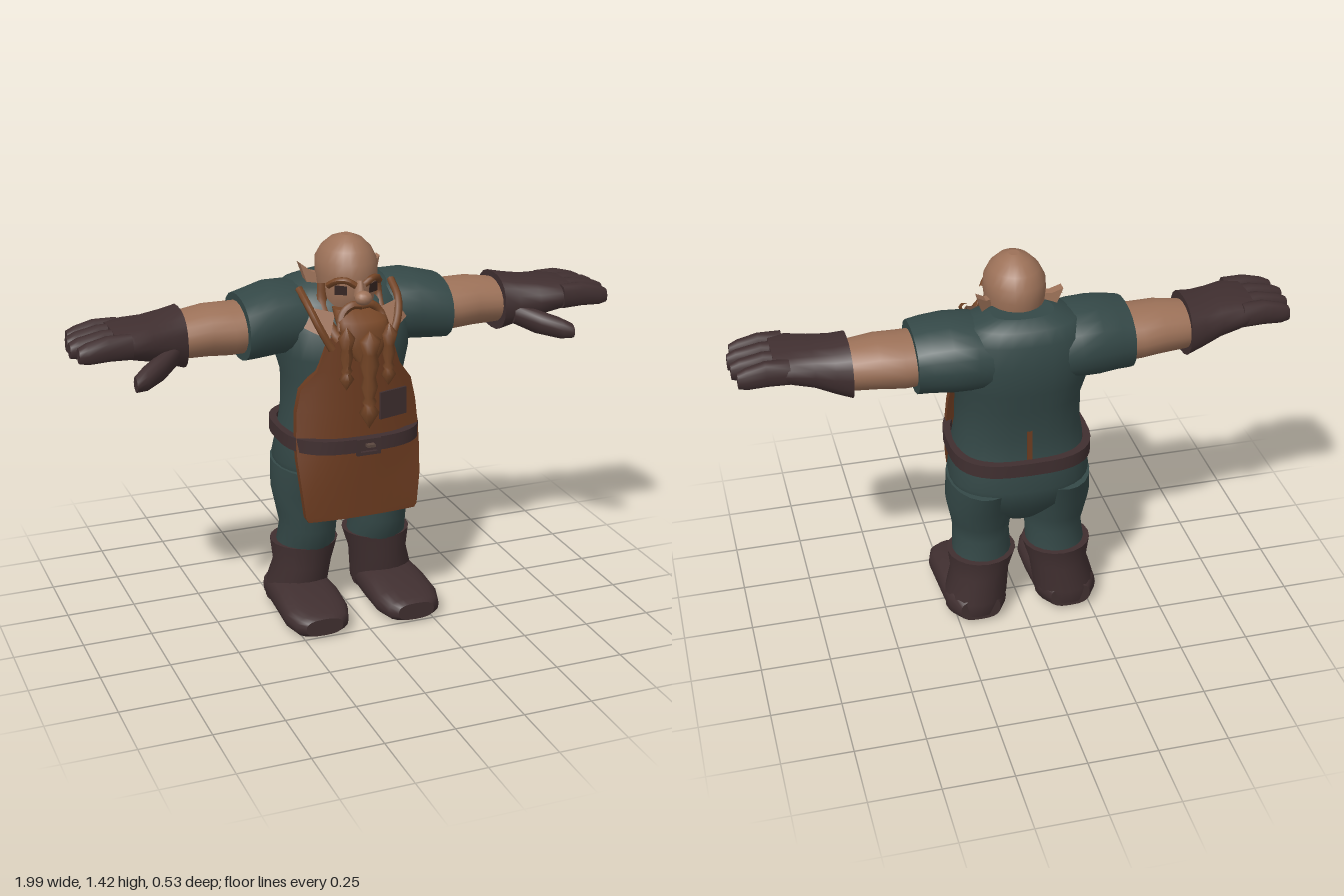
import * as THREE from 'three';

const mat = (name, color, side = THREE.FrontSide) => {
  const m = new THREE.MeshStandardMaterial({ color, side });
  m.name = name;
  return m;
};

export function createModel() {
  const model = new THREE.Group();
  model.name = 'bearded smith';
  const skin = mat('skin', 0x9c7158, THREE.DoubleSide);
  const cloth = mat('green cloth', 0x344847);
  const apronBrown = mat('apron brown', 0x6b3b20);
  const hair = mat('beard brown', 0x744526);
  const leather = mat('dark leather', 0x402f30);
  const dark = mat('eye dark', 0x33221f);
  const metal = mat('buckle metal', 0x5a473f);

  const add = (name, geometry, material) => {
    const mesh = new THREE.Mesh(geometry, material);
    mesh.name = name;
    model.add(mesh);
    return mesh;
  };

  // Adds a part on the left (+x) and its reflection on the right
  const pair = (name, geometry, material) => {
    add(name + 'Left', geometry, material);
    const g = geometry.clone();
    g.scale(-1, 1, 1);
    const n = g.index ? g.index.count : g.attributes.position.count;
    const idx = [];
    for (let i = 0; i < n; i += 3) {
      const at = k => (g.index ? g.index.getX(k) : k);
      idx.push(at(i), at(i + 2), at(i + 1));
    }
    g.setIndex(idx);
    g.computeVertexNormals();
    add(name + 'Right', g, material);
  };

  // Skin over superellipse rings [t, u, v, ru, rv]; axis x: u=y v=z, axis y: u=z v=x, axis z: u=x v=y
  const loft = (axis, rings, { power = 2, seg = 20, caps = true } = {}) => {
    const a = 'xyz'.indexOf(axis);
    const first = rings[0], last = rings[rings.length - 1];
    const all = caps
      ? [[...first.slice(0, 3), 0, 0], first, ...rings, last, [...last.slice(0, 3), 0, 0]]
      : rings;
    const pos = [], idx = [];
    const bend = c => Math.sign(c) * Math.abs(c) ** (2 / power);
    all.forEach(([t, u, v, ru, rv], r) => {
      for (let i = 0; i < seg; i++) {
        const q = (i / seg) * Math.PI * 2;
        const p = [0, 0, 0];
        p[a] = t;
        p[(a + 1) % 3] = u + ru * bend(Math.cos(q));
        p[(a + 2) % 3] = v + rv * bend(Math.sin(q));
        pos.push(...p);
        if (r === 0) continue;
        const j = (i + 1) % seg, lo = (r - 1) * seg, hi = r * seg;
        idx.push(lo + i, lo + j, hi + j, lo + i, hi + j, hi + i);
      }
    });
    const g = new THREE.BufferGeometry();
    g.setAttribute('position', new THREE.Float32BufferAttribute(pos, 3));
    g.setIndex(idx);
    g.computeVertexNormals();
    return g;
  };

  const tube = (points, radius) => new THREE.TubeGeometry(
    new THREE.CatmullRomCurve3(points.map(p => new THREE.Vector3(...p))), 10, radius, 7);
  const box = (w, h, d, x, y, z, rx = 0, ry = 0, rz = 0) => {
    const g = new THREE.BoxGeometry(w, h, d);
    g.rotateX(rx).rotateY(ry).rotateZ(rz).translate(x, y, z);
    return g;
  };

  // Torso and hips
  add('torso', loft('y', [
    [0.42, -0.05, 0, 0.09, 0.08], [0.5, -0.04, 0, 0.16, 0.235], [0.6, -0.045, 0, 0.195, 0.255],
    [0.7, -0.03, 0, 0.182, 0.24], [0.8, -0.035, 0, 0.177, 0.222], [0.92, -0.04, 0, 0.185, 0.22],
    [1.0, -0.05, 0, 0.2, 0.24], [1.1, -0.06, 0, 0.2, 0.25], [1.19, -0.085, 0, 0.165, 0.235],
    [1.235, -0.1, 0, 0.125, 0.19], [1.26, -0.105, 0, 0.07, 0.11]], { power: 2.4, seg: 28 }), cloth);

  // Arms: sleeve, forearm, glove, fingers, thumb
  pair('sleeve', loft('x', [
    [0.1, 1.11, -0.085, 0.12, 0.15], [0.18, 1.12, -0.085, 0.125, 0.165], [0.26, 1.12, -0.08, 0.127, 0.165],
    [0.33, 1.112, -0.065, 0.12, 0.16], [0.38, 1.105, -0.06, 0.115, 0.155]], { power: 2.2 }), cloth);
  pair('forearm', loft('x', [
    [0.3, 1.105, -0.06, 0.09, 0.125], [0.42, 1.103, -0.063, 0.092, 0.128],
    [0.5, 1.107, -0.06, 0.09, 0.12], [0.62, 1.1, -0.055, 0.08, 0.105]]), skin);
  pair('glove', loft('x', [
    [0.595, 1.1, -0.05, 0.106, 0.122], [0.65, 1.105, -0.04, 0.09, 0.122], [0.72, 1.115, -0.02, 0.072, 0.125],
    [0.79, 1.125, -0.008, 0.06, 0.135], [0.85, 1.13, -0.004, 0.045, 0.125]], { power: 2.4 }), leather);
  [-0.102, -0.036, 0.031, 0.098].forEach((z, i) => {
    const end = [0.975, 0.99, 0.995, 0.98][i];
    pair('finger' + (i + 1), loft('x', [
      [0.8, 1.13, z, 0.044, 0.034], [0.88, 1.132, z, 0.043, 0.034], [end - 0.03, 1.122, z, 0.036, 0.031],
      [end, 1.118, z, 0.026, 0.023]], { power: 2.6, seg: 12 }), leather);
  });
  pair('thumb', loft('x', [
    [0.63, 1.07, 0.05, 0.035, 0.03], [0.7, 1.048, 0.1, 0.045, 0.05], [0.77, 1.03, 0.15, 0.04, 0.045],
    [0.81, 1.022, 0.175, 0.027, 0.027]], { seg: 12 }), leather);

  // Legs and boots
  pair('trouserLeg', loft('y', [
    [0.24, -0.055, 0.14, 0.108, 0.11], [0.34, -0.028, 0.137, 0.125, 0.103], [0.4, -0.042, 0.14, 0.125, 0.11],
    [0.48, -0.04, 0.142, 0.152, 0.124], [0.58, -0.045, 0.14, 0.185, 0.12]]), cloth);
  pair('bootShaft', loft('y', [
    [0.03, -0.075, 0.173, 0.105, 0.11], [0.09, -0.072, 0.168, 0.12, 0.115], [0.18, -0.058, 0.15, 0.112, 0.108],
    [0.265, -0.06, 0.142, 0.122, 0.126]]), leather);
  pair('bootFoot', loft('z', [
    [-0.175, 0.172, 0.06, 0.075, 0.045], [-0.12, 0.173, 0.066, 0.11, 0.064], [0.06, 0.173, 0.064, 0.12, 0.062],
    [0.17, 0.176, 0.053, 0.121, 0.051], [0.235, 0.178, 0.047, 0.1, 0.043],
    [0.26, 0.178, 0.046, 0.07, 0.032]], { power: 2.7 }), leather);

  // Apron: a plate bent around the belly, rows [y, half width, front z, side sag]
  const rows = [[0.42, 0.203, 0.18, 0.012], [0.435, 0.212, 0.18, 0.012], [0.55, 0.225, 0.18, 0.02],
    [0.65, 0.232, 0.18, 0.045], [0.72, 0.232, 0.178, 0.055], [0.82, 0.225, 0.172, 0.062],
    [0.9, 0.208, 0.168, 0.06], [0.97, 0.155, 0.165, 0.035], [1.09, 0.115, 0.16, 0.02]];
  const apron = new THREE.BoxGeometry(2, rows.length - 1, 1, 12, rows.length - 1, 1);
  const ap = apron.attributes.position;
  for (let i = 0; i < ap.count; i++) {
    const u = ap.getX(i), [y, w, z, sag] = rows[Math.round(ap.getY(i) + (rows.length - 1) / 2)];
    ap.setXYZ(i, u * w, y, z - sag * u * u - (ap.getZ(i) < 0 ? 0.03 : 0));
  }
  apron.computeVertexNormals();
  add('apron', apron, apronBrown);
  pair('apronStrap', tube([[0.105, 1.05, 0.15], [0.145, 1.13, 0.13], [0.165, 1.19, 0.085], [0.172, 1.235, 0.0]], 0.014), hair);
  add('apronPocket', box(0.115, 0.1, 0.009, 0.118, 0.832, 0.162, 0, 0.27), leather);
  add('backTie', box(0.018, 0.15, 0.02, 0, 0.77, -0.21, 0.06), apronBrown);

  // Belt and buckle
  const outer = y => [y, -0.023, 0, 0.233, 0.256], inner = y => [y, -0.023, 0, 0.205, 0.23];
  add('belt', loft('y', [inner(0.68), outer(0.68), outer(0.68), outer(0.73), outer(0.73), inner(0.73), inner(0.73), inner(0.68)],
    { power: 2.9, seg: 40, caps: false }), leather);
  const frame = new THREE.Shape([[-0.045, -0.03], [0.045, -0.03], [0.045, 0.03], [-0.045, 0.03]].map(p => new THREE.Vector2(...p)));
  frame.holes.push(new THREE.Path([[-0.032, -0.018], [-0.032, 0.018], [0.032, 0.018], [0.032, -0.018]].map(p => new THREE.Vector2(...p))));
  const buckle = new THREE.ExtrudeGeometry(frame, { depth: 0.012, bevelEnabled: false });
  add('buckleFrame', buckle.translate(0, 0.707, 0.222), leather);
  add('bucklePin', box(0.03, 0.01, 0.02, 0.01, 0.707, 0.222), metal);

  // Head, ears, open collar
  add('head', loft('y', [
    [1.1, -0.02, 0, 0.08, 0.08], [1.18, 0.015, 0, 0.11, 0.088], [1.23, 0.005, 0, 0.128, 0.1],
    [1.29, 0.005, 0, 0.134, 0.107], [1.335, 0.003, 0, 0.128, 0.106], [1.375, 0.005, 0, 0.103, 0.086],
    [1.405, 0.008, 0, 0.065, 0.055], [1.42, 0.01, 0, 0.022, 0.02]], { seg: 24 }), skin);
  const earShape = new THREE.Shape([[0.085, 1.2], [0.112, 1.205], [0.13, 1.245], [0.15, 1.312], [0.115, 1.285], [0.085, 1.28]]
    .map(p => new THREE.Vector2(...p)));
  const ear = new THREE.ExtrudeGeometry(earShape, { depth: 0.035, bevelEnabled: false });
  const ep = ear.attributes.position;
  for (let i = 0; i < ep.count; i++) ep.setZ(i, ep.getZ(i) - 0.04 - (ep.getX(i) - 0.085) * 0.7);
  ear.computeVertexNormals();
  pair('ear', ear, skin);
  const collar = new THREE.BufferGeometry();
  collar.setAttribute('position', new THREE.Float32BufferAttribute(
    [0.115, 1.085, 0.15, 0.192, 1.125, 0.1, 0.15, 1.19, 0.095, 0.115, 1.085, 0.15, 0.15, 1.19, 0.095, 0.08, 1.17, 0.11], 3));
  collar.computeVertexNormals();
  pair('openCollar', collar, skin);

  // Face
  add('nose', new THREE.SphereGeometry(0.028, 14, 10).scale(1.1, 0.9, 1).translate(0, 1.232, 0.173), skin);
  add('noseBridge', loft('y', [[1.23, 0.135, 0, 0.035, 0.02], [1.285, 0.125, 0, 0.02, 0.013]], { seg: 10 }), skin);
  pair('eye', box(0.042, 0.032, 0.012, 0.058, 1.249, 0.11, 0, 0.5), dark);
  pair('eyebrow', tube([[0.015, 1.268, 0.14], [0.045, 1.286, 0.132], [0.075, 1.282, 0.108], [0.095, 1.262, 0.08]], 0.012), hair);

  // Moustache, sideburns, beard
  pair('moustache', tube([[0.0, 1.2, 0.15], [0.035, 1.202, 0.15], [0.068, 1.175, 0.15], [0.085, 1.12, 0.175]], 0.015), hair);
  pair('sideburn', tube([[0.1, 1.26, 0.035], [0.104, 1.2, 0.045], [0.098, 1.13, 0.1], [0.08, 1.08, 0.16]], 0.018), hair);
  add('beard', loft('y', [
    [1.02, 0.205, 0, 0.025, 0.04], [1.07, 0.19, 0, 0.042, 0.075], [1.13, 0.175, 0, 0.055, 0.092],
    [1.155, 0.15, 0, 0.062, 0.092], [1.185, 0.1, 0, 0.05, 0.085]], { power: 2.3 }), hair);

  // Braids, from tip to root
  const braid = profile => new THREE.LatheGeometry(profile.map(p => new THREE.Vector2(...p)), 10);
  add('braidCentre', braid([[0, 0.775], [0.036, 0.835], [0.018, 0.86], [0.026, 0.875], [0.018, 0.89], [0.03, 0.93],
    [0.022, 0.965], [0.034, 1.01], [0.026, 1.05], [0.04, 1.1], [0, 1.13]]).translate(0, 0, 0.232), hair);
  pair('braidSide', braid([[0, 0.92], [0.027, 0.962], [0.014, 0.98], [0.021, 0.992], [0.014, 1.004], [0.023, 1.04],
    [0.019, 1.07], [0.03, 1.11], [0, 1.15]]).translate(0.078, 0, 0.215), hair);

  return model;
}
